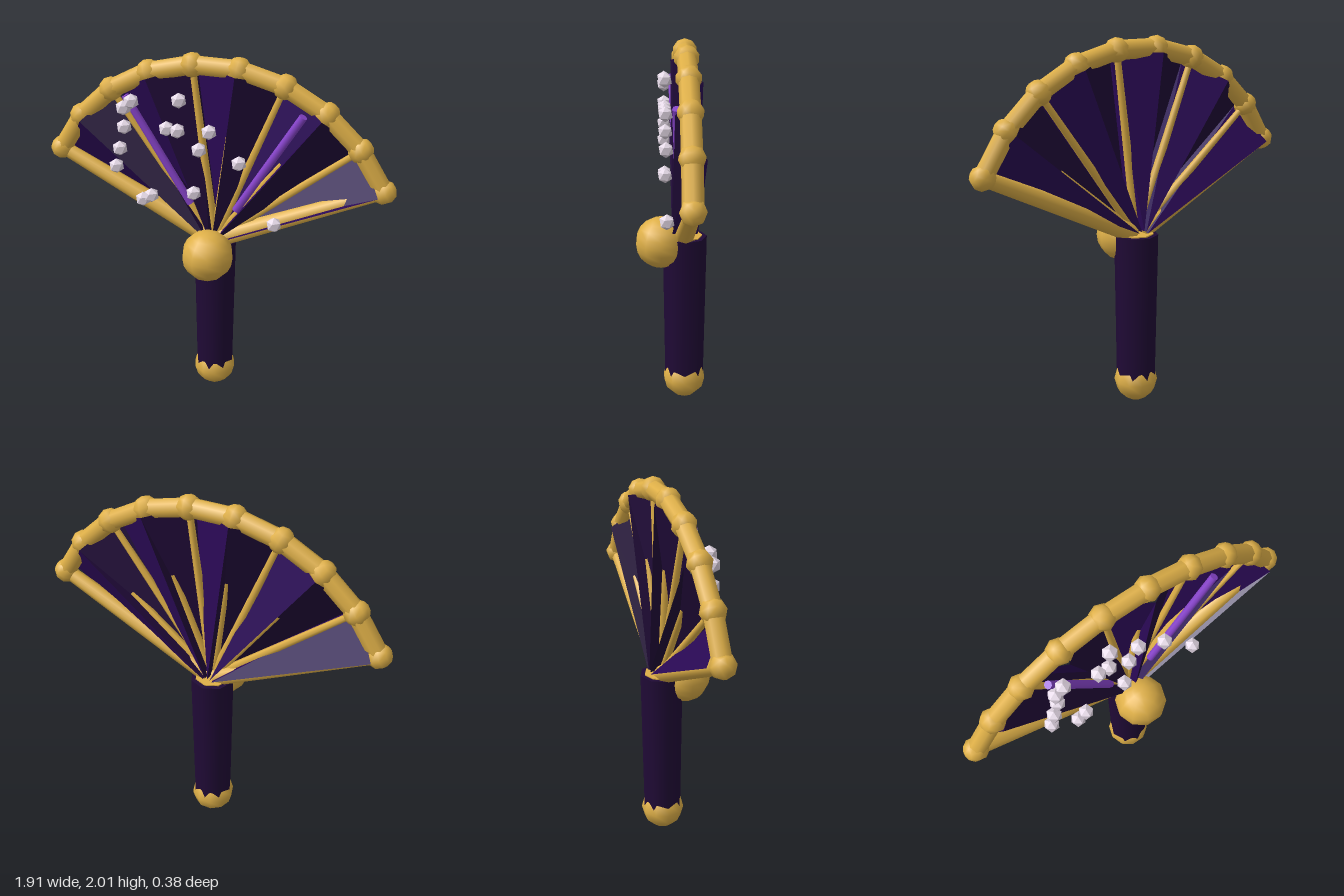
import * as THREE from 'three';

const mat = (name, color, opts = {}) => {
  const m = new THREE.MeshStandardMaterial({ color, ...opts });
  m.name = name;
  return m;
};

export function createModel() {
  const gold = mat('gold', 0xdfb048);
  const clothLight = mat('purple cloth', 0x2a0955, { side: THREE.DoubleSide });
  const clothDark = mat('dark purple cloth', 0x200a38, { side: THREE.DoubleSide });
  const grip = mat('dark purple grip', 0x200a36);
  const violet = mat('violet', 0x8844cc);
  const pearl = mat('pearl', 0xe4d8e6, { flatShading: true });

  const model = new THREE.Group();
  const add = (name, geo, material, x = 0, y = 0, z = 0) => {
    const mesh = new THREE.Mesh(geo, material);
    mesh.name = name;
    mesh.position.set(x, y, z);
    model.add(mesh);
    return mesh;
  };

  // Fan layout: ten spokes around a hub
  const HUB = 0.97, Z = -0.07, R = 0.985, COUNT = 10, HALF = 1.125;
  const angle = i => -HALF + (2 * HALF * i) / (COUNT - 1);
  const polar = (a, r, z = Z) => new THREE.Vector3(Math.sin(a) * r, HUB + Math.cos(a) * r, z);
  // Round rod from p to q
  const UP = new THREE.Vector3(0, 1, 0);
  const rod = (name, p, q, rp, rq, material, sides = 8) => {
    const geo = new THREE.CylinderGeometry(rq, rp, p.distanceTo(q), sides);
    const mid = p.clone().add(q).multiplyScalar(0.5);
    add(name, geo, material, ...mid.toArray())
      .quaternion.setFromUnitVectors(UP, q.clone().sub(p).normalize());
  };

  // Handle, pommel and pivot ball
  add('handle', new THREE.CylinderGeometry(0.12, 0.108, 0.83, 8), grip, 0, 0.555, Z);
  add('handleTopCap', new THREE.CylinderGeometry(0.095, 0.095, 0.008, 8), gold, 0, 0.972, Z);
  add('pommel', new THREE.SphereGeometry(0.12, 10, 6), gold, 0, 0.122, Z);
  add('pivotBall', new THREE.SphereGeometry(0.141, 10, 10), gold, 0, 0.935, 0.06);

  // Pleated cloth, alternating back and front folds
  for (let i = 0; i < COUNT - 1; i++) {
    const zs = i % 2 ? [0, -0.14] : [-0.14, 0];
    const a = polar(angle(i), 0.03, zs[0]), b = polar(angle(i + 1), 0.03, zs[1]);
    const c = polar(angle(i + 1), 0.965, zs[1]), d = polar(angle(i), 0.965, zs[0]);
    const pleat = new THREE.BufferGeometry().setFromPoints([a, c, b, a, d, c]);
    pleat.computeVertexNormals();
    add('pleat', pleat, i % 2 ? clothDark : clothLight);
  }

  // Ribs, outer guards and rim
  for (let i = 0; i < COUNT; i++) {
    const a = angle(i);
    if (i === 0 || i === COUNT - 1) {
      rod('guard', polar(a, 0.03), polar(a, 0.975), 0.055, 0.039, gold);
    } else {
      rod('rib', polar(a, 0.04), polar(a, 0.95), 0.025, 0.017, gold, 6);
    }
    add('rimKnob', new THREE.SphereGeometry(0.065, 8, 5), gold, ...polar(a, R).toArray()).rotation.z = -a;
    if (i < COUNT - 1) rod('rimBar', polar(a, R), polar(angle(i + 1), R), 0.05, 0.05, gold);
  }

  // Violet accent sticks, rising out of the cloth
  for (const a of [-0.535, 0.535]) {
    rod('accentStick', polar(a, 0.25, -0.035), polar(a, 0.925, -0.01), 0.021, 0.021, violet);
  }

  // Scattered pearls
  const pearls = [
    [-0.16, 1.79], [-0.42, 1.755], [-0.465, 1.715], [-0.465, 1.61], [-0.23, 1.63],
    [-0.17, 1.625], [0, 1.64], [-0.055, 1.535], [0.16, 1.49], [-0.495, 1.485],
    [-0.52, 1.38], [-0.085, 1.285], [-0.325, 1.235], [-0.375, 1.205], [0.355, 1.17],
  ];
  const pearlGeo = new THREE.IcosahedronGeometry(0.042, 0).rotateX(-1.0172);
  for (const [x, y] of pearls) add('pearl', pearlGeo, pearl, x, y, 0.034);

  return model;
}
